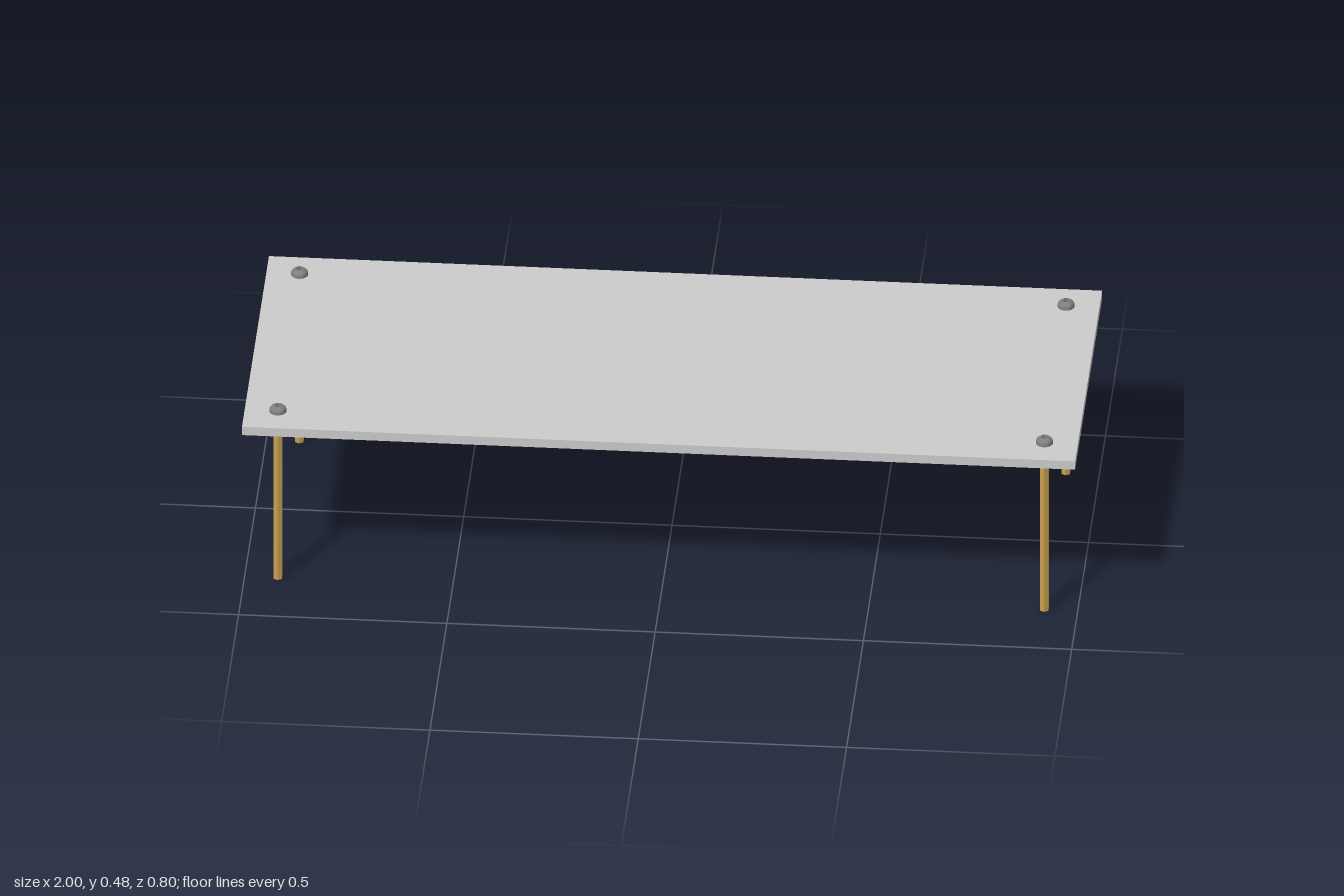
import * as THREE from 'three';
import { toCreasedNormals } from 'three/addons/utils/BufferGeometryUtils.js';

const BOARD_BOTTOM = 0.441, BOARD_TOP = 0.464;
const LEG_X = 0.92, LEG_Z = 0.32, BORE = 0.006;

// Hexagonal standoff with a round bore along its length
function standoffGeometry() {
  const shape = new THREE.Shape();
  for (let i = 0; i < 6; i++) {
    const a = i * Math.PI / 3, x = 0.0114 * Math.sin(a), y = 0.0114 * Math.cos(a);
    if (i) shape.lineTo(x, y); else shape.moveTo(x, y);
  }
  shape.closePath();
  shape.holes.push(new THREE.Path().absarc(0, 0, BORE, 0, Math.PI * 2, true));
  const geo = new THREE.ExtrudeGeometry(shape, { depth: BOARD_BOTTOM, bevelEnabled: false, curveSegments: 16 });
  geo.rotateX(-Math.PI / 2);
  return toCreasedNormals(geo, 0.6);
}

// Domed screw head; the inner rings of the lathe are squeezed into a hex socket
function screwHeadGeometry() {
  const socket = 0.0085;
  const profile = [
    [0, 0], [0.0203, 0], [0.0203, 0.006], [0.0195, 0.0095], [0.017, 0.0125],
    [0.0135, 0.0152], [0.0105, 0.0165], [socket, 0.0168], [socket, 0.007], [0, 0.007],
  ].map(([r, y]) => new THREE.Vector2(r, y));
  const geo = new THREE.LatheGeometry(profile, 36);
  const pos = geo.attributes.position;
  for (let i = 0; i < pos.count; i++) {
    const x = pos.getX(i), z = pos.getZ(i);
    if (Math.hypot(x, z) > socket + 1e-5) continue;
    const step = Math.PI / 3;
    const a = ((Math.atan2(x, z) + 2 * Math.PI + 1e-6) % step) - step / 2;
    const k = Math.cos(step / 2) / Math.cos(a);
    pos.setX(i, x * k);
    pos.setZ(i, z * k);
  }
  return toCreasedNormals(geo, 0.6);
}

export function createModel() {
  const group = new THREE.Group();
  const grey = new THREE.MeshStandardMaterial({ color: 0xcccccc });
  const brass = new THREE.MeshStandardMaterial({ color: 0xc8a050 });
  const steel = new THREE.MeshStandardMaterial({ color: 0x808080 });

  const add = (parent, name, geo, mat, y) => {
    const mesh = new THREE.Mesh(geo, mat);
    mesh.name = name;
    mesh.position.y = y;
    parent.add(mesh);
  };

  // Flat top board
  const thickness = BOARD_TOP - BOARD_BOTTOM;
  add(group, 'board', new THREE.BoxGeometry(2, thickness, 0.8), grey, BOARD_BOTTOM + thickness / 2);

  // A standoff leg and its screw at each corner
  const legGeo = standoffGeometry();
  const headGeo = screwHeadGeometry();
  const shankGeo = new THREE.CylinderGeometry(BORE, BORE, 0.06, 16);
  for (const sx of [1, -1]) {
    for (const sz of [1, -1]) {
      const corner = new THREE.Group();
      corner.name = (sz > 0 ? 'front' : 'back') + (sx > 0 ? 'Left' : 'Right') + 'Leg';
      corner.position.set(sx * LEG_X, 0, sz * LEG_Z);
      add(corner, 'standoff', legGeo, brass, 0);
      add(corner, 'screwHead', headGeo, steel, BOARD_TOP);
      add(corner, 'screwShank', shankGeo, steel, BOARD_TOP - 0.03);
      group.add(corner);
    }
  }
  return group;
}
